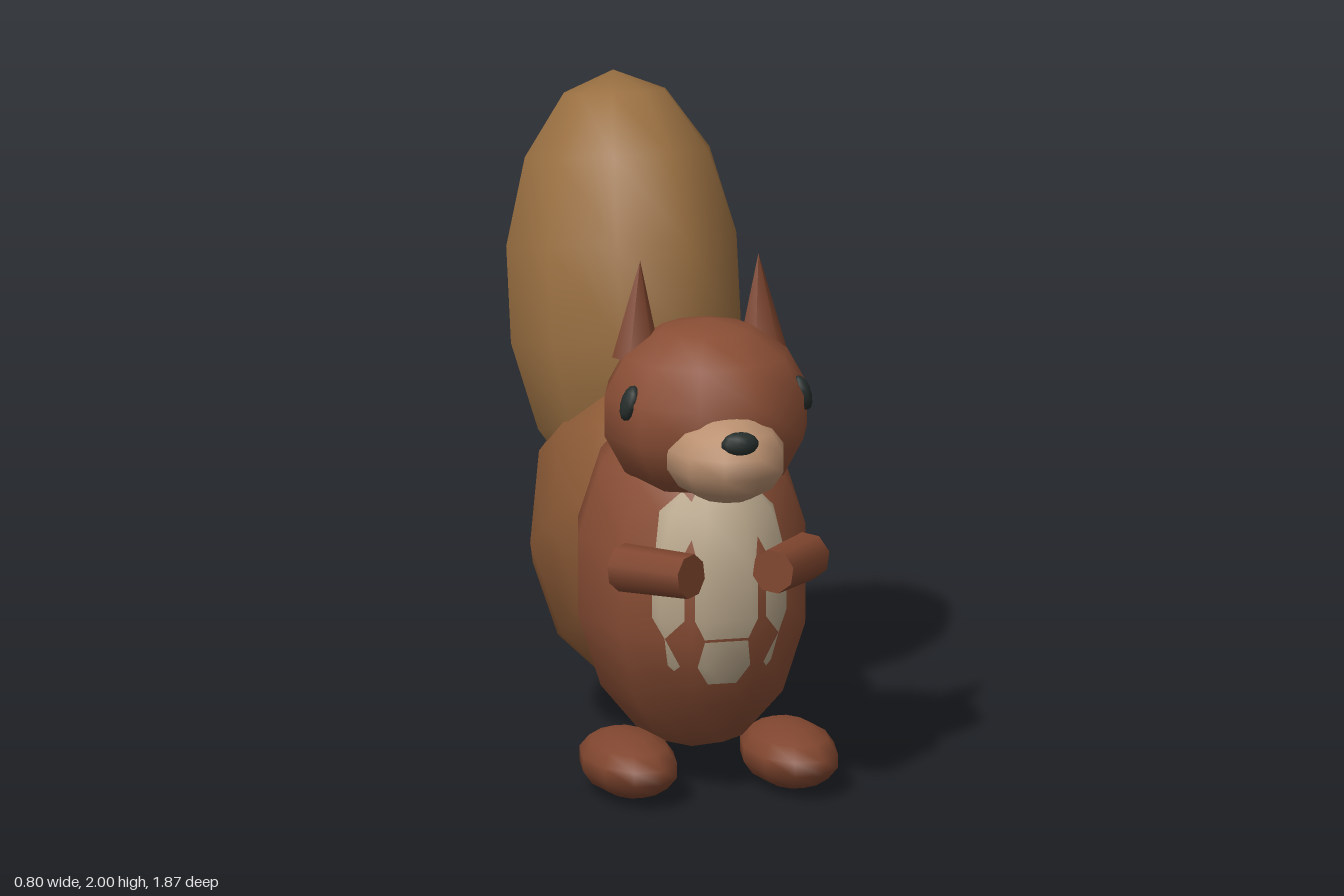
import * as THREE from 'three';

const mat = (color) => new THREE.MeshStandardMaterial({ color });
const fur = mat(0x8a4e35);
const limb = mat(0x80462f);
const tailDark = mat(0x905d38);
const tailLight = mat(0x9a7042);
const cream = mat(0xb9a78c);
const tan = mat(0xba9070);
const dark = mat(0x252d2b);

// Every rounded part is a stretched ten-sided sphere
const ball = new THREE.SphereGeometry(1, 10, 7);

export function createModel() {
  const model = new THREE.Group();
  model.name = 'squirrel';

  const add = (name, geometry, material, position) => {
    const mesh = new THREE.Mesh(geometry, material);
    mesh.name = name;
    mesh.position.set(...position);
    model.add(mesh);
    return mesh;
  };
  const blob = (name, material, position, radii) => {
    const mesh = add(name, ball, material, position);
    mesh.scale.set(...radii);
    return mesh;
  };

  // Body and head
  blob('body', fur, [0, 0.645, 0.31], [0.37, 0.56, 0.46]);
  blob('belly', cream, [0, 0.67, 0.574], [0.25, 0.385, 0.19]);
  blob('head', fur, [0, 1.19, 0.483], [0.33, 0.29, 0.328]);
  blob('muzzle', tan, [0, 1.1, 0.719], [0.19, 0.14, 0.233]);
  blob('nose', dark, [0, 1.176, 0.897], [0.06, 0.04, 0.037]);

  // Two-part tail, leaning back then curling upright
  blob('lowerTail', tailDark, [0, 0.65, -0.265], [0.34, 0.625, 0.505]).rotation.x = 1.08;
  blob('upperTail', tailLight, [0, 1.34, -0.52], [0.375, 0.672, 0.42]).rotation.x = -0.195;

  // Mirrored parts
  const earGeometry = new THREE.ConeGeometry(0.077, 0.305, 6);
  earGeometry.rotateY(Math.PI / 6);
  const armGeometry = new THREE.CylinderGeometry(0.07, 0.075, 0.27, 8);
  armGeometry.rotateY(Math.PI / 8);
  const up = new THREE.Vector3(0, 1, 0);

  for (const [side, s] of [['left', 1], ['right', -1]]) {
    blob(side + 'Foot', limb, [s * 0.255, 0.1, 0.515], [0.147, 0.1, 0.265]);

    const eye = blob(side + 'Eye', dark, [s * 0.275, 1.256, 0.606], [0.027, 0.057, 0.036]);
    eye.rotation.z = s * 0.3;

    const ear = add(side + 'Ear', earGeometry, limb, [s * 0.194, 1.502, 0.402]);
    ear.rotation.z = s * 0.04;

    // Forearm reaching forward and inward
    const shoulder = new THREE.Vector3(s * 0.295, 0.735, 0.59);
    const paw = new THREE.Vector3(s * 0.13, 0.745, 0.803);
    const middle = shoulder.clone().lerp(paw, 0.5);
    const arm = add(side + 'Arm', armGeometry, limb, middle.toArray());
    arm.quaternion.setFromUnitVectors(up, paw.clone().sub(shoulder).normalize());
  }

  return model;
}
